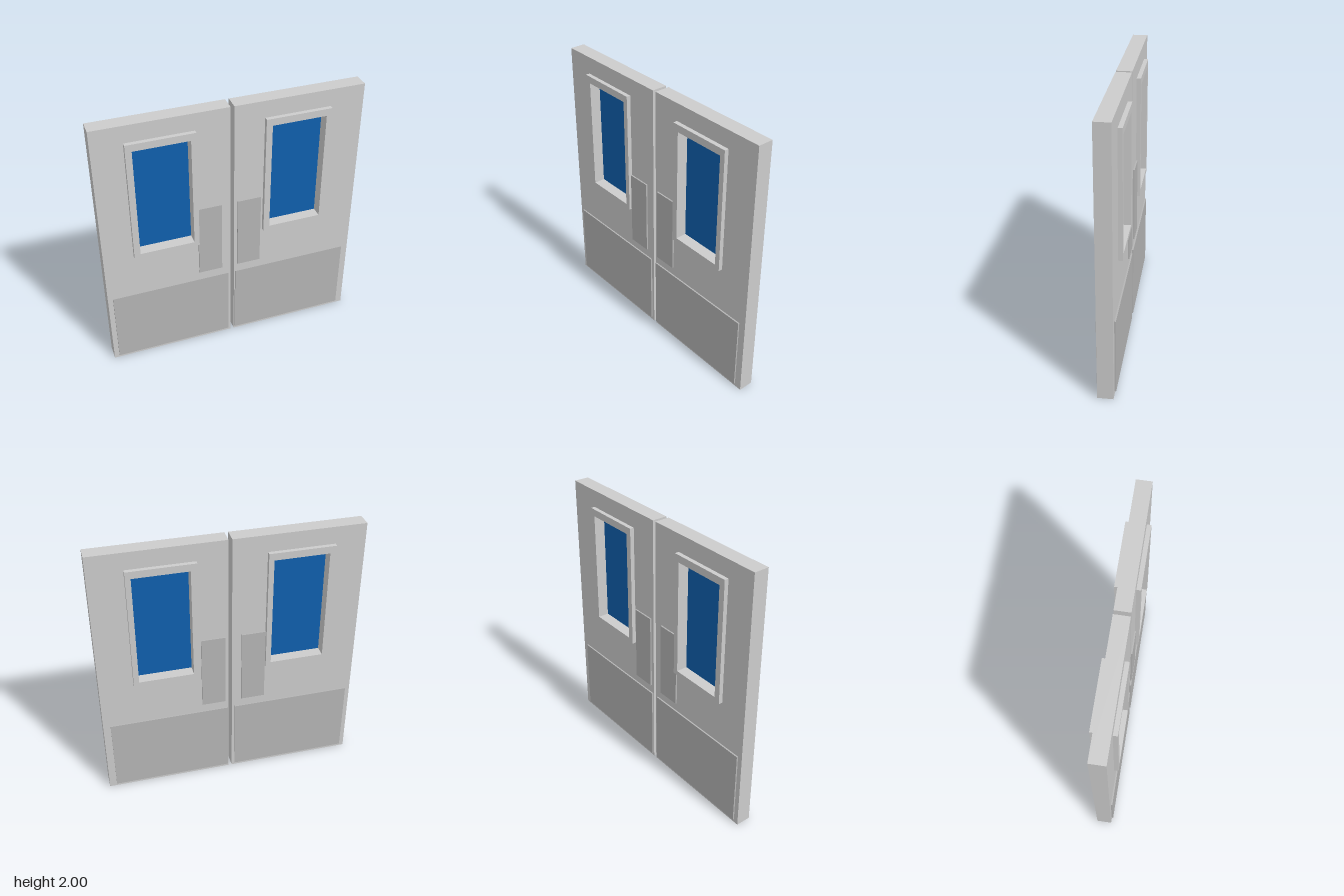
import * as THREE from 'three';

const grey = new THREE.MeshStandardMaterial({ color: 0xcccccc });
const plateGrey = new THREE.MeshStandardMaterial({ color: 0xb4b4b4 });
const blue = new THREE.MeshStandardMaterial({ color: 0x0f5fad });

const SLAB = 0.112, FRAME = 0.174, PLATE = 0.134; // overall thicknesses

// Rectangles are [x0, x1, y0, y1]
function outline([x0, x1, y0, y1], Type) {
  const path = new Type();
  path.moveTo(x0, y0);
  path.lineTo(x1, y0);
  path.lineTo(x1, y1);
  path.lineTo(x0, y1);
  path.closePath();
  return path;
}

function add(group, name, geometry, material) {
  const mesh = new THREE.Mesh(geometry, material);
  mesh.name = name;
  group.add(mesh);
}

// Rectangular panel with a rectangular opening, centred on z = 0
function ring(outer, inner, depth) {
  const shape = outline(outer, THREE.Shape);
  shape.holes.push(outline(inner, THREE.Path));
  return new THREE.ExtrudeGeometry(shape, { depth, bevelEnabled: false }).translate(0, 0, -depth / 2);
}

function box([x0, x1, y0, y1], z0, z1) {
  return new THREE.BoxGeometry(x1 - x0, y1 - y0, z1 - z0)
    .translate((x0 + x1) / 2, (y0 + y1) / 2, (z0 + z1) / 2);
}

function door(name, d) {
  const group = new THREE.Group();
  group.name = name;
  add(group, 'doorSlab', ring(d.slab, d.frame, SLAB), grey);
  add(group, 'windowFrame', ring(d.frame, d.glass, FRAME), grey);
  add(group, 'windowPane', box(d.glass, -0.004, 0.004), blue);
  // Push and kick plates on both faces
  for (const [side, s] of [['front', 1], ['back', -1]]) {
    const z = [s * SLAB / 2, s * PLATE / 2].sort((a, b) => a - b);
    add(group, side + 'PushPlate', box(d.push, ...z), plateGrey);
    add(group, side + 'KickPlate', box(d.kick, ...z), plateGrey);
  }
  return group;
}

export function createModel() {
  const model = new THREE.Group();
  model.name = 'doubleDoors';
  model.add(
    door('rightDoor', {
      slab: [-0.957, -0.014, 0, 2],
      frame: [-0.739, -0.26, 0.947, 1.873],
      glass: [-0.694, -0.298, 0.98, 1.82],
      push: [-0.26, -0.084, 0.667, 1.24],
      kick: [-0.92, -0.036, 0.025, 0.6],
    }),
    door('leftDoor', {
      slab: [0.012, 0.957, 0, 2],
      frame: [0.23, 0.71, 0.947, 1.873],
      glass: [0.275, 0.671, 0.98, 1.82],
      push: [0.037, 0.213, 0.667, 1.24],
      kick: [0.02, 0.903, 0.025, 0.6],
    }),
  );
  return model;
}
